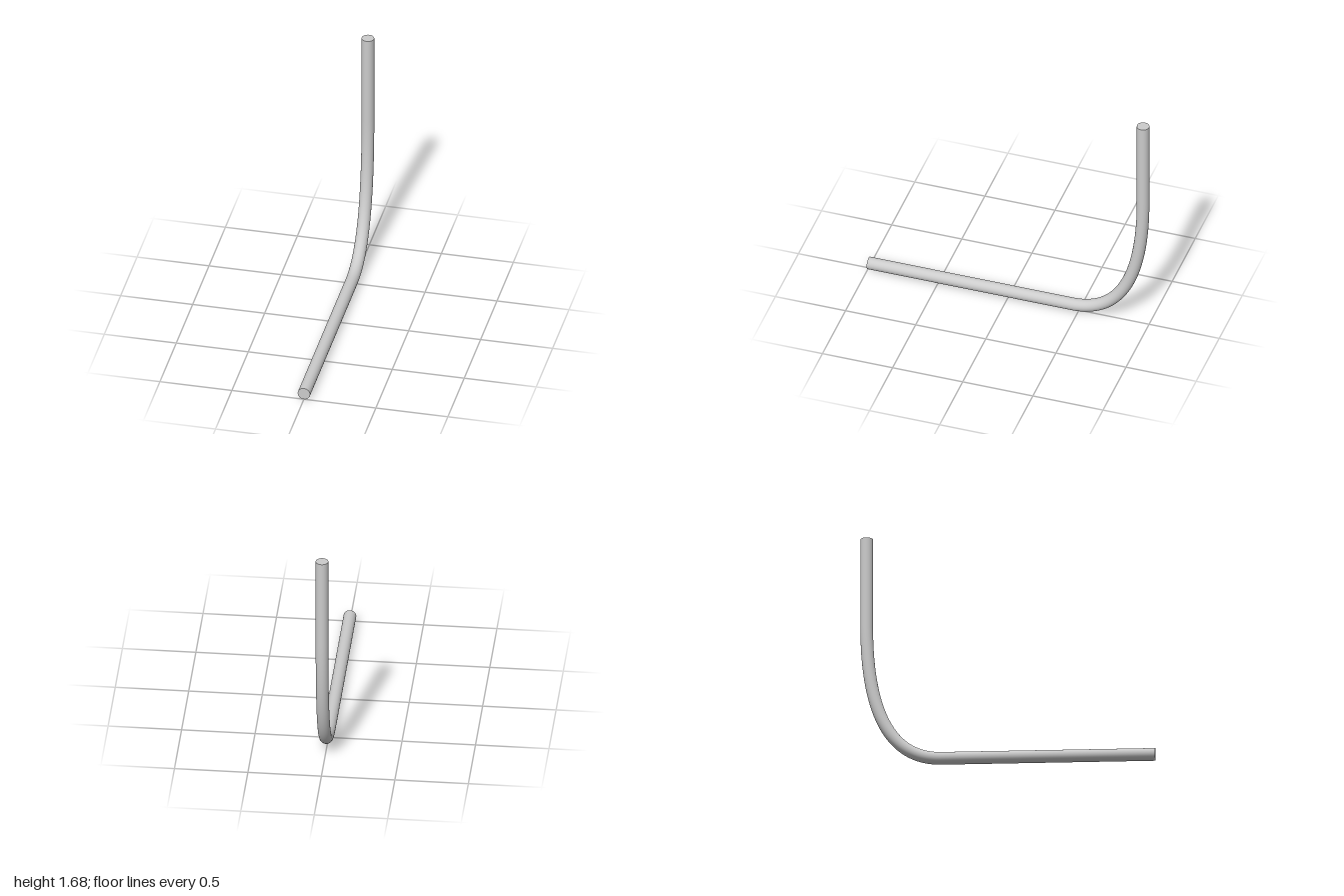
import * as THREE from 'three';

const R = 0.043; // rod radius
const TOP = 1.685;

export function createModel() {
  const group = new THREE.Group();
  group.name = 'bentRod';
  const material = new THREE.MeshStandardMaterial({ color: 0xcccccc });
  const point = (y, z) => new THREE.Vector3(0, y, z);

  // Centre line: flat run, sweeping bend, upright run
  const zBack = -1 + R;
  const front = point(R, 1);
  const bendStart = point(R, -0.45);
  const corner = point(R, zBack);
  const bendEnd = point(1.04, zBack);
  const top = point(TOP, zBack);

  const path = new THREE.CurvePath();
  path.add(new THREE.LineCurve3(front, bendStart));
  path.add(new THREE.QuadraticBezierCurve3(bendStart, corner, bendEnd));
  path.add(new THREE.LineCurve3(bendEnd, top));

  const rod = new THREE.Mesh(new THREE.TubeGeometry(path, 160, R, 32), material);
  rod.name = 'rod';
  group.add(rod);

  // Flat discs closing both ends
  const addCap = (name, position, rotationX) => {
    const cap = new THREE.Mesh(new THREE.CircleGeometry(R, 32), material);
    cap.name = name;
    cap.position.copy(position);
    cap.rotation.x = rotationX;
    group.add(cap);
  };
  addCap('frontCap', front, 0);
  addCap('topCap', top, -Math.PI / 2);

  return group;
}
